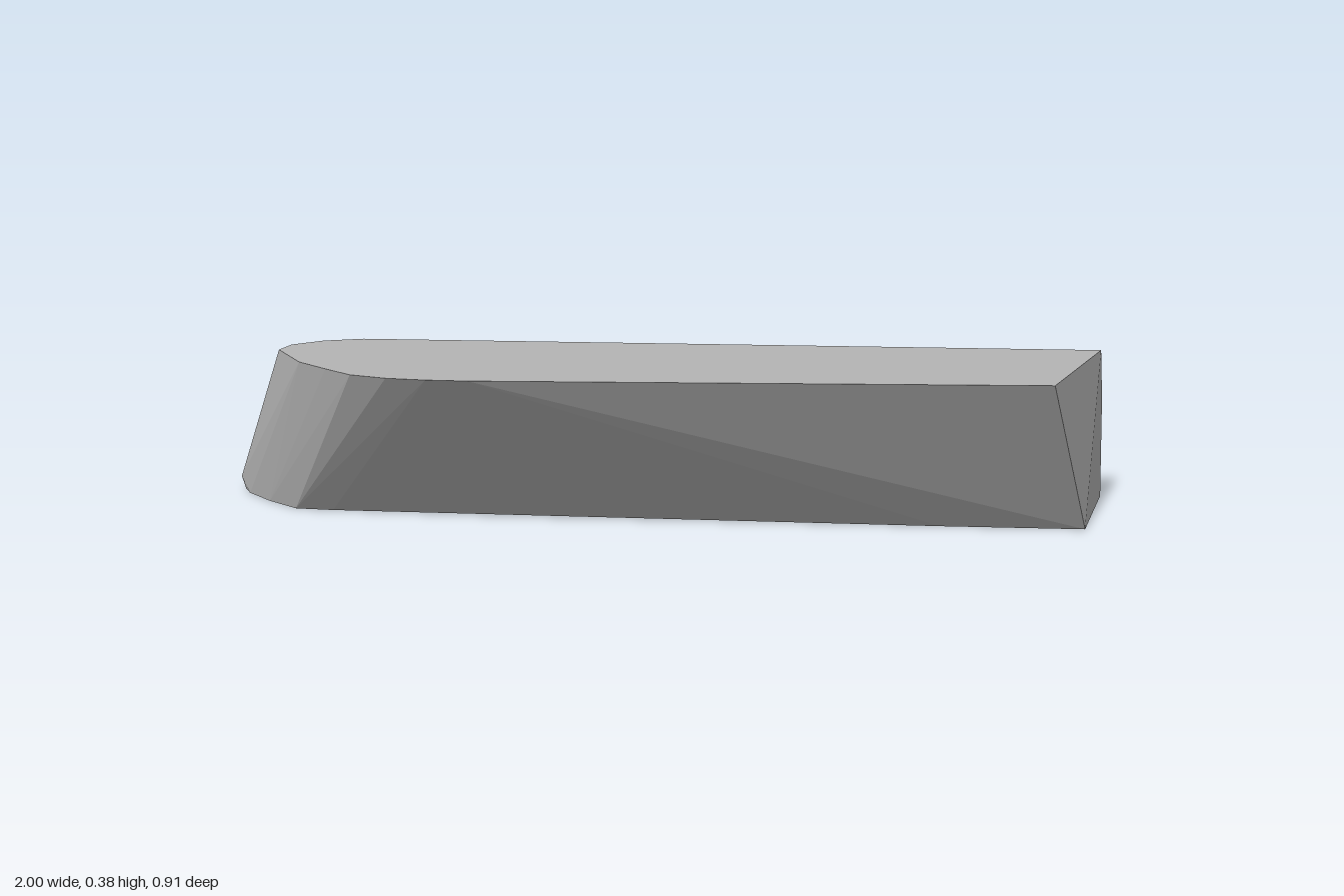
import * as THREE from 'three';
import { ConvexGeometry } from 'three/addons/geometries/ConvexGeometry.js';

// Flat rim outline, [x, z] at the top height
const TOP = 0.375;
const rim = [
  [1, -0.33], [0.95, 0.13], [-0.27, 0.435], [-0.36, 0.45], [-0.45, 0.455],
  [-0.54, 0.44], [-0.62, 0.39], [-0.71, 0.33], [-0.82, 0.2], [-0.82, 0.13],
  [-0.77, 0.06], [-0.69, 0.01],
];

// Base outline, [x, z] on the ground
const base = [
  [1, -0.455], [1, -0.125], [0.68, -0.06], [-0.7, 0.19], [-0.79, 0.2],
  [-0.88, 0.15], [-0.96, 0.09], [-0.99, 0.05], [-0.98, -0.08], [-0.93, -0.115],
  [-0.75, -0.175], [-0.32, -0.27], [0.58, -0.42],
];

// Points where the back wall and the nose bulge, [x, y, z]
const bulge = [
  [1, 0.25, -0.4], [0.58, 0.12, -0.423], [0, 0.25, -0.205], [-0.6, 0.25, -0.085],
  [-0.91, 0.2, -0.01], [-0.91, 0.21, 0.08], [-1, 0.03, 0.05], [-1, 0.03, -0.02],
];

export function createModel() {
  const group = new THREE.Group();
  const grey = new THREE.MeshStandardMaterial({ color: 0xb4b4b4 });
  grey.name = 'grey';
  grey.flatShading = true;

  // Slanted faceted block with a rounded nose
  const ring = (outline, y) => outline.map(([x, z]) => new THREE.Vector3(x, y, z));
  const points = [
    ...ring(rim, TOP),
    ...ring(base, 0),
    ...bulge.map((p) => new THREE.Vector3(...p)),
  ];
  const block = new THREE.Mesh(new ConvexGeometry(points), grey);
  block.name = 'slantedBlock';
  group.add(block);
  return group;
}
